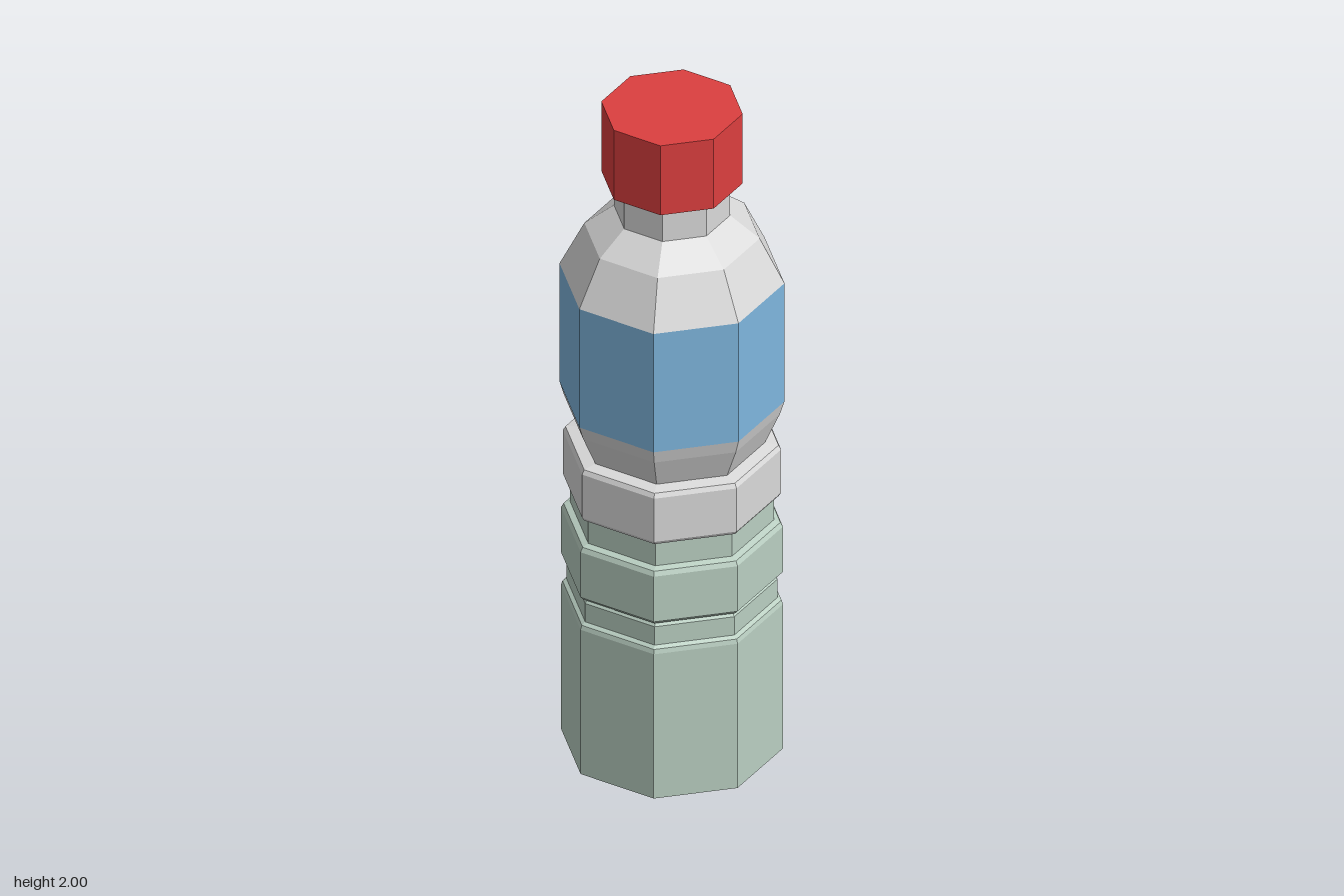
import * as THREE from 'three';

const SIDES = 8;

function mat(name, color) {
  return new THREE.MeshStandardMaterial({ name, color, flatShading: true });
}

// Faceted ring section from [radius, height] pairs, listed bottom to top
function section(name, profile, material) {
  const points = profile.map(([r, y]) => new THREE.Vector2(r, y));
  const mesh = new THREE.Mesh(new THREE.LatheGeometry(points, SIDES), material);
  mesh.name = name;
  return mesh;
}

export function createModel() {
  const liquid = mat('pale green liquid', 0xbacfc2);
  const clear = mat('light grey plastic', 0xdadada);
  const blue = mat('blue label', 0x7fb6de);
  const red = mat('red cap', 0xdc3f3f);

  const bottle = new THREE.Group();
  bottle.name = 'bottle';
  bottle.add(
    // Filled lower body with two grooves and a raised grip band
    section('filledBody', [
      [0, 0], [0.3, 0], [0.3, 0.457], [0.296, 0.47], [0.285, 0.477],
      [0.285, 0.535], [0.277, 0.545], [0.29, 0.549], [0.3, 0.56],
      [0.3, 0.703], [0.293, 0.716], [0.275, 0.722], [0.275, 0.796],
    ], liquid),
    // Empty grip band and flare up to the label
    section('gripBand', [
      [0.275, 0.796], [0.288, 0.799], [0.295, 0.81], [0.295, 0.947],
      [0.288, 0.96], [0.252, 0.966], [0.292, 1.06], [0.304, 1.1],
    ], clear),
    section('label', [[0.304, 1.1], [0.304, 1.475]], blue),
    // Sloping shoulder and neck
    section('shoulder', [[0.304, 1.475], [0.237, 1.61], [0.157, 1.675]], clear),
    section('neck', [[0.157, 1.675], [0.157, 1.78]], clear),
    section('cap', [[0, 1.78], [0.191, 1.78], [0.191, 2], [0, 2]], red),
  );
  return bottle;
}
